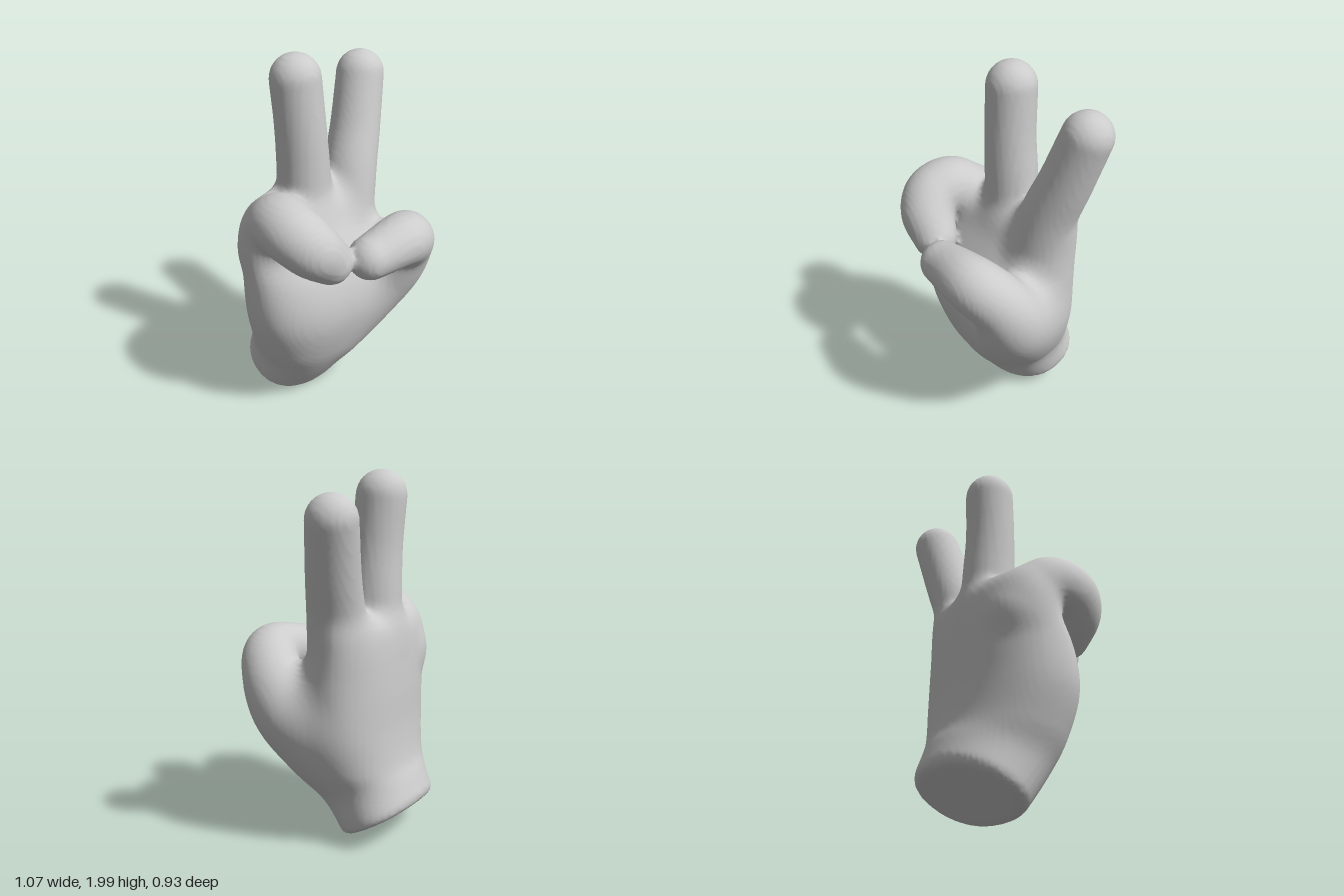
import * as THREE from 'three';

const CELL = 0.02;
const ORIGIN = [-0.6, -0.06, -0.56];
const COUNT = [61, 107, 57];
const STRIDE = [1, COUNT[0], COUNT[0] * COUNT[1]];

// Smooth every column of a short table into `n` rows
function resample(rows, n) {
  const columns = rows[0].map((_, k) => new THREE.CatmullRomCurve3(
    rows.map(r => new THREE.Vector3(r[k], 0, 0)), false, 'catmullrom', 0.5));
  return Array.from({ length: n }, (_, i) => columns.map(c => c.getPoint(i / (n - 1)).x));
}

// Minimum of two distances, rounded off over a width k
function smoothMin(a, b, k) {
  const h = Math.max(k - Math.abs(a - b), 0) / k;
  return Math.min(a, b) - h * h * k / 4;
}
const smoothMax = (a, b, k) => -smoothMin(-a, -b, k);

// Finger volume along a path of [x, y, z, radius]; gives [root distance, full distance]
function finger(rootShare, ...points) {
  const beads = resample(points, 44), rootCount = Math.round(beads.length * rootShare);
  return (x, y, z) => {
    let root = Infinity, full = Infinity;
    beads.forEach(([bx, by, bz, r], i) => {
      const d = Math.sqrt((x - bx) ** 2 + (y - by) ** 2 + (z - bz) ** 2) - r;
      if (d < full) full = d;
      if (i < rootCount && d < root) root = d;
    });
    return [root, full];
  };
}

// Palm volume from slanted oval sections: [front y, front z, back y, back z, right x, left x]
function palm(...rows) {
  const sections = resample(rows, 60), last = sections.length - 1;
  return (x, y, zIn) => {
    const z = zIn + 0.12 * (x + 0.06); // little-finger side sits further forward
    const height = s => s[0] + THREE.MathUtils.clamp((z - s[1]) / (s[3] - s[1]), -0.3, 1.3) * (s[2] - s[0]);
    let i = 0;
    while (i < last - 1 && height(sections[i + 1]) < y) i++;
    const a = sections[i], b = sections[i + 1], ha = height(a);
    const t = THREE.MathUtils.clamp((y - ha) / (height(b) - ha), 0, 1);
    const s = a.map((v, k) => v + (b[k] - v) * t);
    const dx = x - (s[4] + s[5]) / 2, dz = z - (s[1] + s[3]) / 2;
    const w = Math.abs(dx) / ((s[5] - s[4]) / 2), d = Math.abs(dz) / ((s[1] - s[3]) / 2);
    const k = Math.max(Math.pow(w ** 2.2 + d ** 2.2, 1 / 2.2), 1e-3);
    let dist = (1 - 1 / k) * Math.hypot(dx, dz);
    dist = smoothMax(dist, (height(sections[0]) - y) * 0.86, 0.05);
    dist = smoothMax(dist, y - height(sections[last]), 0.12);
    return [dist, dist];
  };
}

const palmVolume = palm(
  [-0.01, -0.05, 0.24, -0.48, -0.41, 0.25],
  [0.20, 0.10, 0.37, -0.43, -0.42, 0.27],
  [0.38, 0.19, 0.47, -0.39, -0.47, 0.34],
  [0.62, 0.245, 0.65, -0.365, -0.525, 0.405],
  [0.85, 0.205, 0.87, -0.355, -0.53, 0.405],
  [1.08, 0.07, 1.10, -0.335, -0.51, 0.385],
  [1.25, -0.01, 1.27, -0.30, -0.44, 0.37]);

// The two raised fingers
const middleVolume = finger(1,
  [-0.07, 1.08, -0.15, 0.153], [-0.075, 1.35, -0.15, 0.145],
  [-0.09, 1.6, -0.15, 0.137], [-0.105, 1.865, -0.165, 0.135]);
const indexVolume = finger(1,
  [0.2, 1.05, -0.13, 0.165], [0.26, 1.3, -0.16, 0.15],
  [0.325, 1.5, -0.2, 0.14], [0.4, 1.77, -0.255, 0.132]);

// Curled forward and down over the palm
const curledVolume = finger(0.35,
  [-0.34, 1.0, -0.11, 0.16], [-0.37, 1.195, 0.02, 0.163],
  [-0.375, 1.2, 0.16, 0.16], [-0.32, 1.13, 0.24, 0.15], [-0.22, 1.03, 0.26, 0.122]);

// Swings out from the wrist and across the palm
const thumbVolume = finger(0.55,
  [0.06, 0.4, -0.03, 0.16], [0.2, 0.55, 0.02, 0.205], [0.325, 0.74, 0.11, 0.2],
  [0.345, 0.91, 0.21, 0.165], [0.24, 1.02, 0.31, 0.15], [-0.01, 1.01, 0.335, 0.12]);

// Blend is the width over which a part flows into the rest
const PARTS = [
  { name: 'palm', blend: 0, volume: palmVolume },
  { name: 'middleFinger', blend: 0.06, volume: middleVolume },
  { name: 'indexFinger', blend: 0.06, volume: indexVolume },
  { name: 'curledFinger', blend: 0.07, volume: curledVolume },
  { name: 'thumb', blend: 0.14, volume: thumbVolume },
];

// Whole hand: roots melt together, fingertips only touch
function hand(x, y, z) {
  let body = Infinity, outer = Infinity, owner = 0;
  PARTS.forEach((part, i) => {
    const [root, full] = part.volume(x, y, z);
    body = i ? smoothMin(body, root, part.blend) : root;
    if (full < outer) { outer = full; owner = i; }
  });
  return { distance: Math.min(body, outer), owner };
}

// Wrap a skin of quads round the volume; each part gets its own share of the faces
function skin() {
  const values = new Float32Array(COUNT[0] * COUNT[1] * COUNT[2]);
  const at = (i, a) => Math.floor(i / STRIDE[a]) % COUNT[a];
  for (let i = 0; i < values.length; i++) {
    const p = ORIGIN.map((o, a) => o + at(i, a) * CELL);
    values[i] = hand(...p).distance;
  }

  // One point per cell, at the mean of its edge crossings
  const pos = [], owners = [], cellPoint = new Map();
  const corner = c => (c & 1) * STRIDE[0] + (c >> 1 & 1) * STRIDE[1] + (c >> 2) * STRIDE[2];
  for (let i = 0; i < values.length - corner(7); i++) {
    const sum = [0, 0, 0];
    let hits = 0;
    for (let c = 0; c < 8; c++) {
      for (let a = 0; a < 3; a++) {
        if (c >> a & 1) continue;
        const v0 = values[i + corner(c)], v1 = values[i + corner(c | 1 << a)];
        if (v0 < 0 === v1 < 0) continue;
        hits++;
        for (let k = 0; k < 3; k++) sum[k] += (c >> k & 1) + (k === a ? v0 / (v0 - v1) : 0);
      }
    }
    if (!hits) continue;
    const p = sum.map((s, a) => ORIGIN[a] + (at(i, a) + s / hits) * CELL);
    cellPoint.set(i, owners.length);
    owners.push(hand(...p).owner);
    pos.push(...p);
  }

  // One quad per crossed grid edge
  const all = [], shares = PARTS.map(() => []);
  for (let i = 0; i < values.length - STRIDE[2]; i++) {
    for (let a = 0; a < 3; a++) {
      const inside = values[i] < 0;
      if (inside === values[i + STRIDE[a]] < 0) continue;
      const b = STRIDE[(a + 1) % 3], c = STRIDE[(a + 2) % 3];
      const q = [i, i - b, i - b - c, i - c].map(cell => cellPoint.get(cell));
      if (!inside) q.reverse();
      const faces = [q[0], q[1], q[2], q[0], q[2], q[3]];
      all.push(...faces);
      shares[owners[q[0]]].push(...faces);
    }
  }
  const whole = new THREE.BufferGeometry();
  whole.setAttribute('position', new THREE.Float32BufferAttribute(pos, 3));
  whole.setIndex(all);
  whole.computeVertexNormals();
  return shares.map(index => whole.clone().setIndex(index));
}

export function createModel() {
  const group = new THREE.Group();
  group.name = 'hand';
  const material = new THREE.MeshStandardMaterial({ color: 0xcccccc });
  skin().forEach((geometry, i) => {
    const mesh = new THREE.Mesh(geometry, material);
    mesh.name = PARTS[i].name;
    group.add(mesh);
  });
  return group;
}
